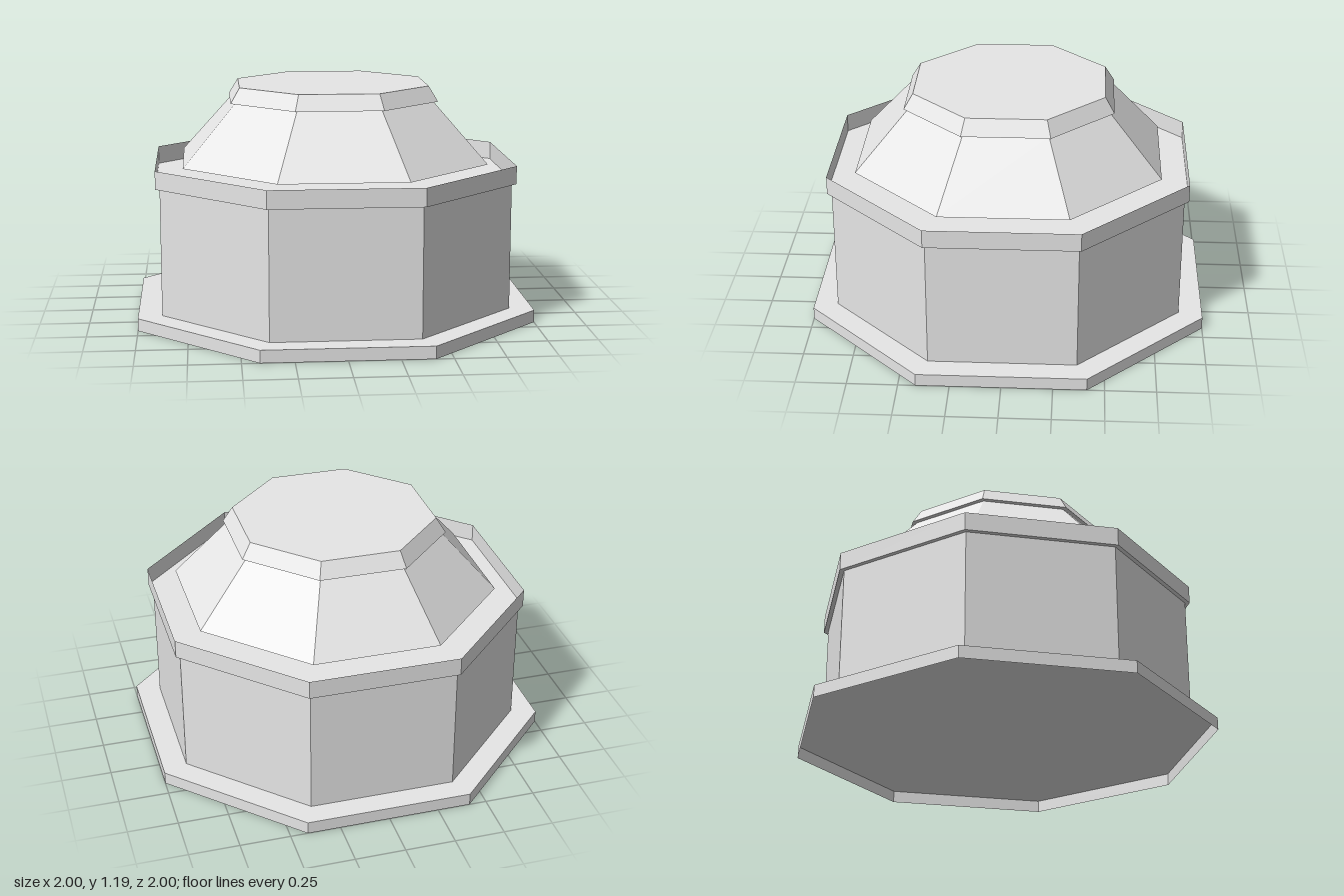
import * as THREE from 'three';

const SIDES = 8;
const TURN = Math.PI / SIDES;      // puts the flats on the axes
const CORNER = 1 / Math.cos(TURN); // half-width across flats -> corner radius

export function createModel() {
  const model = new THREE.Group();
  const paleGrey = new THREE.MeshStandardMaterial({
    color: 0xe6e6e6, flatShading: true, side: THREE.DoubleSide });
  paleGrey.name = 'paleGrey';

  function add(name, geometry, y) {
    const mesh = new THREE.Mesh(geometry, paleGrey);
    mesh.name = name;
    mesh.position.y = y;
    model.add(mesh);
  }

  // Open octagonal wall sized by its half-width across the flats
  function wall(name, bottomHalf, topHalf, y0, y1) {
    add(name, new THREE.CylinderGeometry(
      topHalf * CORNER, bottomHalf * CORNER, y1 - y0, SIDES, 1, true, TURN), (y0 + y1) / 2);
  }

  // Flat octagonal sheet facing up
  function sheet(name, half, y) {
    add(name, new THREE.CircleGeometry(half * CORNER, SIDES, TURN).rotateX(-Math.PI / 2), y);
  }

  // Base: a shallow tray turned upside down, open underneath
  wall('baseWall', 1, 1, 0, 0.063);
  sheet('baseTop', 1, 0.063);

  wall('drumWall', 0.88, 0.88, 0.063, 0.708);

  // Rim: an open tray, its floor visible in the gap around the roof
  wall('rimWall', 0.902, 0.902, 0.708, 0.8);
  sheet('rimFloor', 0.902, 0.708);

  // Roof with a bevelled cap that overhangs it slightly
  wall('slopedRoof', 0.765, 0.5, 0.8, 1.108);
  wall('roofCapBevel', 0.523, 0.477, 1.108, 1.186);
  sheet('roofCapTop', 0.477, 1.186);
  sheet('roofCapUnderside', 0.523, 1.108);

  return model;
}
